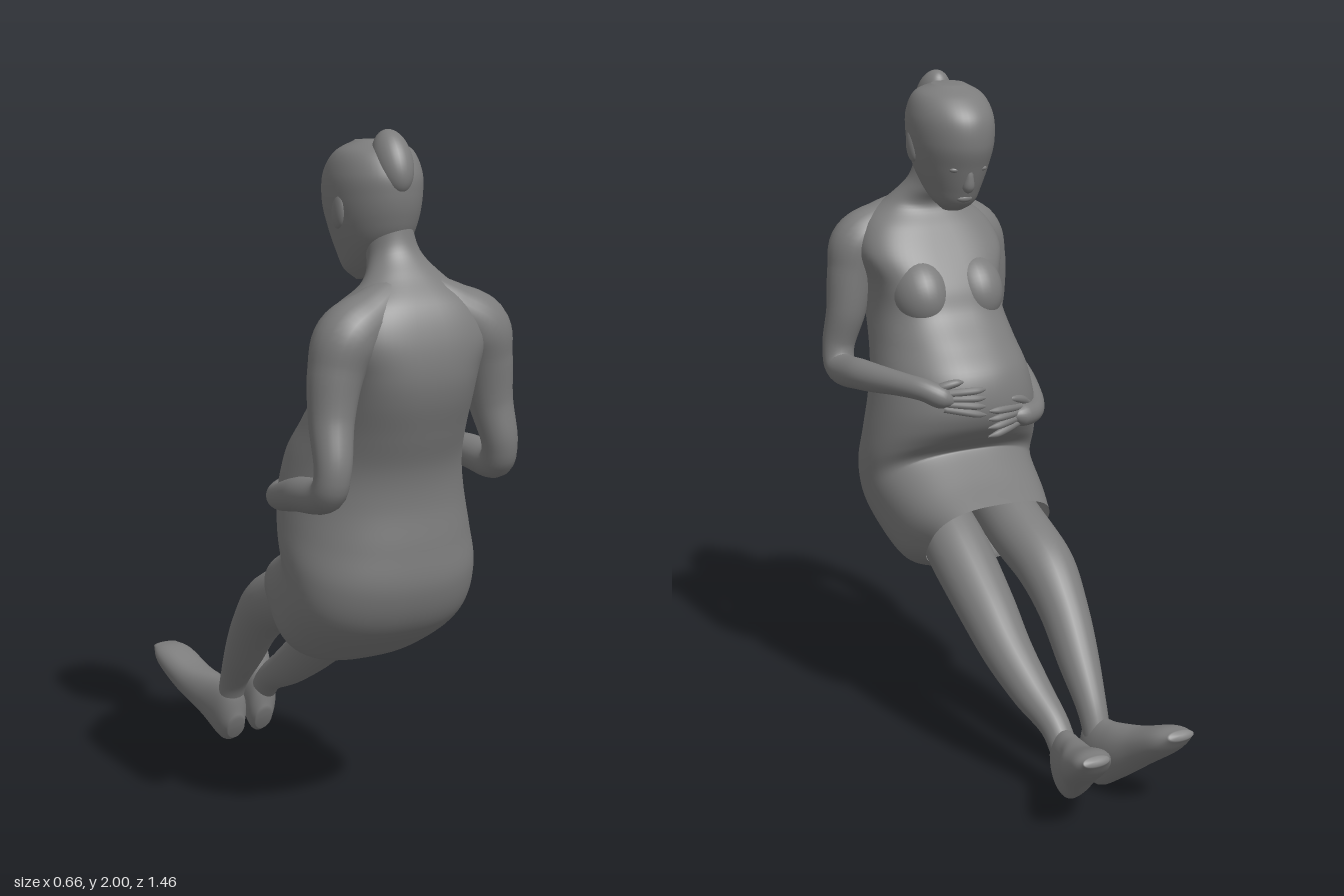
import * as THREE from 'three';
import { mergeVertices } from 'three/addons/utils/BufferGeometryUtils.js';

const skin = new THREE.MeshStandardMaterial({ color: 0x7c7c7c, side: THREE.DoubleSide });

function add(parent, name, geometry) {
  const mesh = new THREE.Mesh(geometry, skin);
  mesh.name = name;
  parent.add(mesh);
  return mesh;
}

// Evenly parameterised curve through one triple per section.
const blend = triples => new THREE.CatmullRomCurve3(
  triples.map(t => new THREE.Vector3(...t)), false, 'catmullrom', 0.5);

// Skin over oval sections: [centreX, halfWidth, z1, y1, z2, y2, squareness],
// where (z1, y1) and (z2, y2) are the two ends of the section's middle line.
function loft(sections, { capStart = true, rows = 64, cols = 48 } = {}) {
  const ends1 = blend(sections.map(s => [0, s[3], s[2]]));
  const ends2 = blend(sections.map(s => [0, s[5], s[4]]));
  const widths = blend(sections.map(s => [s[0], s[1], s[6] ?? 2]));
  const pos = [], idx = [];
  const ring = (t, k) => {
    const a = ends1.getPoint(t), b = ends2.getPoint(t), w = widths.getPoint(t);
    const oval = v => Math.sign(v) * Math.abs(v) ** (2 / w.z) * k;
    for (let j = 0; j < cols; j++) {
      const q = j / cols * Math.PI * 2, c = oval(Math.cos(q)), s = oval(Math.sin(q)) / 2;
      pos.push(w.x + c * w.y, (a.y + b.y) / 2 + s * (b.y - a.y), (a.z + b.z) / 2 + s * (b.z - a.z));
    }
  };
  if (capStart) ring(0, 0.001);
  for (let i = 0; i <= rows; i++) ring(i / rows, 1);
  ring(1, 0.001);
  for (let i = 0; i < pos.length / 3 / cols - 1; i++) {
    for (let j = 0; j < cols; j++) {
      const a = i * cols + j, b = i * cols + (j + 1) % cols;
      idx.push(a, b, b + cols, a, b + cols, a + cols);
    }
  }
  const g = new THREE.BufferGeometry();
  g.setAttribute('position', new THREE.Float32BufferAttribute(pos, 3));
  g.setIndex(idx);
  g.computeVertexNormals();
  return g;
}

// Round limb through points [x, y, z, radius].
function limb(points, rows = 48, cols = 24) {
  const curve = new THREE.CatmullRomCurve3(points.map(p => new THREE.Vector3(p[0], p[1], p[2])));
  const radii = blend(points.map(p => [p[3], 0, 0]));
  const tube = new THREE.TubeGeometry(curve, rows, 1, cols);
  const p = tube.attributes.position, v = new THREE.Vector3();
  for (let i = 0; i <= rows; i++) {
    const c = curve.getPointAt(i / rows);
    const r = Math.max(0.002, radii.getPoint(curve.getUtoTmapping(i / rows)).x);
    for (let j = 0; j <= cols; j++) {
      const n = i * (cols + 1) + j;
      v.fromBufferAttribute(p, n).sub(c).multiplyScalar(r).add(c);
      p.setXYZ(n, v.x, v.y, v.z);
    }
  }
  tube.deleteAttribute('uv');
  tube.deleteAttribute('normal');
  const g = mergeVertices(tube, 1e-5);
  g.computeVertexNormals();
  return g;
}

function ellipsoid(parent, name, [x, y, z], [rx, ry, rz], tilt = 0) {
  const mesh = add(parent, name, new THREE.SphereGeometry(1, 32, 24));
  mesh.position.set(x, y, z);
  mesh.scale.set(rx, ry, rz);
  mesh.rotation.x = tilt;
}

export function createModel() {
  const model = new THREE.Group();
  model.name = 'recliningFigure';

  // Torso, from the open hem of the shorts round the seat and up to the neck
  add(model, 'torso', loft([
    [0, 0.200, 0.24, 0.51, 0.05, 0.75, 2.7],
    [0, 0.238, 0.34, 0.49, 0.15, 0.80, 2.7],
    [0, 0.262, 0.47, 0.55, 0.24, 0.86, 2.5],
    [0, 0.272, 0.59, 0.64, 0.245, 0.88, 2.4],
    [0, 0.277, 0.645, 0.76, 0.20, 0.92, 2.3],
    [0, 0.268, 0.645, 0.88, 0.16, 0.97, 2.2],
    [0, 0.253, 0.635, 1.00, 0.145, 1.03, 2.2],
    [0, 0.235, 0.645, 1.10, 0.165, 1.12, 2.2],
    [0, 0.215, 0.68, 1.20, 0.23, 1.20, 2.3],
    [0, 0.203, 0.715, 1.30, 0.30, 1.28, 2.5],
    [0, 0.207, 0.727, 1.38, 0.335, 1.36, 2.7],
    [0, 0.232, 0.717, 1.47, 0.39, 1.45, 2.8],
    [0, 0.200, 0.685, 1.555, 0.445, 1.53, 2.6],
    [0, 0.120, 0.625, 1.625, 0.485, 1.59, 2.2],
    [-0.005, 0.076, 0.575, 1.69, 0.455, 1.64],
    [-0.018, 0.070, 0.558, 1.77, 0.42, 1.69],
  ], { capStart: false, rows: 96, cols: 64 }));
  for (const s of [-1, 1]) {
    ellipsoid(model, 'breast', [s * 0.092, 1.335, 0.415], [0.09, 0.115, 0.1], 0.6);
  }

  // Head, bowed forward
  const head = new THREE.Group();
  head.name = 'head';
  model.add(head);
  add(head, 'skull', loft([
    [-0.02, 0.036, 0.43, 1.600, 0.38, 1.588],
    [-0.02, 0.070, 0.49, 1.650, 0.335, 1.610],
    [-0.02, 0.094, 0.55, 1.715, 0.308, 1.655],
    [-0.02, 0.114, 0.575, 1.775, 0.28, 1.720],
    [-0.02, 0.125, 0.585, 1.835, 0.255, 1.790],
    [-0.02, 0.124, 0.58, 1.890, 0.26, 1.870],
    [-0.02, 0.102, 0.54, 1.945, 0.31, 1.930],
    [-0.02, 0.050, 0.47, 1.972, 0.38, 1.966],
  ]));
  ellipsoid(head, 'hairBun', [-0.02, 1.915, 0.53], [0.053, 0.092, 0.058], -0.5);
  add(head, 'nose', limb([
    [-0.02, 1.735, 0.292, 0.008], [-0.02, 1.70, 0.293, 0.013],
    [-0.02, 1.668, 0.303, 0.018], [-0.02, 1.655, 0.317, 0.004],
  ], 16, 16));
  ellipsoid(head, 'lips', [-0.02, 1.633, 0.327], [0.026, 0.012, 0.012], -0.3);
  for (const s of [-1, 1]) {
    ellipsoid(head, 'ear', [-0.02 + s * 0.115, 1.785, 0.445], [0.014, 0.048, 0.028], 0.2);
    ellipsoid(head, 'eye', [-0.02 + s * 0.043, 1.725, 0.301], [0.019, 0.009, 0.012]);
  }

  // Arms, bent so that the hands rest on the belly
  add(model, 'leftArm', limb([
    [0.03, 1.595, 0.58, 0.045], [0.12, 1.53, 0.605, 0.072], [0.20, 1.472, 0.610, 0.088],
    [0.228, 1.39, 0.607, 0.076], [0.250, 1.27, 0.605, 0.062], [0.273, 1.15, 0.62, 0.050],
    [0.278, 1.095, 0.595, 0.049], [0.270, 1.095, 0.45, 0.047], [0.215, 1.095, 0.28, 0.036],
    [0.175, 1.087, 0.215, 0.034], [0.130, 1.065, 0.182, 0.034], [0.100, 1.053, 0.17, 0.012],
  ], 80));
  add(model, 'rightArm', limb([
    [-0.03, 1.595, 0.58, 0.045], [-0.12, 1.53, 0.605, 0.072], [-0.20, 1.472, 0.615, 0.088],
    [-0.234, 1.39, 0.62, 0.076], [-0.255, 1.27, 0.635, 0.062], [-0.272, 1.14, 0.675, 0.050],
    [-0.278, 1.08, 0.660, 0.049], [-0.282, 1.04, 0.50, 0.047], [-0.240, 0.985, 0.30, 0.037],
    [-0.190, 0.975, 0.215, 0.034], [-0.130, 0.98, 0.178, 0.034], [-0.100, 0.983, 0.168, 0.012],
  ], 80));

  // Fingers and thumbs curving round the belly
  for (const [s, y, z] of [[1, 1.055, 0.168], [-1, 0.985, 0.168]]) {
    const side = s > 0 ? 'left' : 'right';
    for (let i = 0; i < 4; i++) {
      const d = (i - 1.5) * 0.019;
      add(model, side + 'Finger', limb([
        [s * 0.13, y + d * 0.8, z + 0.01, 0.012], [s * 0.07, y + d * 1.1 - 0.004, z - 0.014, 0.012],
        [s * 0.03, y + d * 1.3 - 0.008, z - 0.022, 0.010], [s * 0.005, y + d * 1.4 - 0.01, z - 0.02, 0.003],
      ], 16, 10));
    }
    add(model, side + 'Thumb', limb([
      [s * 0.175, y + 0.02, z + 0.045, 0.012], [s * 0.13, y + 0.045, z + 0.012, 0.014],
      [s * 0.09, y + 0.055, z, 0.011], [s * 0.07, y + 0.055, z, 0.003],
    ], 16, 10));
  }

  // Legs, stretched forward
  add(model, 'leftLeg', limb([
    [0.095, 0.66, 0.27, 0.09], [0.095, 0.58, 0.15, 0.095], [0.092, 0.455, -0.02, 0.086],
    [0.088, 0.36, -0.14, 0.074], [0.072, 0.27, -0.26, 0.060], [0.056, 0.20, -0.365, 0.044],
    [0.053, 0.13, -0.425, 0.040],
  ]));
  add(model, 'rightLeg', limb([
    [-0.095, 0.70, 0.27, 0.09], [-0.093, 0.635, 0.12, 0.094], [-0.098, 0.56, -0.04, 0.088],
    [-0.095, 0.465, -0.15, 0.074], [-0.085, 0.345, -0.255, 0.062], [-0.077, 0.22, -0.352, 0.044],
    [-0.077, 0.13, -0.39, 0.040],
  ]));

  // Feet, toes turned outward and up
  const foot = [
    [0.134, 0.040, -0.735, 0.240, -0.72, 0.262, 2.2],
    [0.122, 0.062, -0.69, 0.185, -0.665, 0.260, 2.2],
    [0.098, 0.064, -0.605, 0.120, -0.565, 0.225, 2.2],
    [0.066, 0.056, -0.525, 0.055, -0.475, 0.210],
    [0.048, 0.049, -0.445, 0.005, -0.380, 0.195],
    [0.042, 0.028, -0.400, 0.020, -0.365, 0.095],
  ];
  add(model, 'leftFoot', loft(foot, { rows: 40, cols: 32 }));
  add(model, 'rightFoot', loft(foot.map(([x, w, z1, y1, z2, y2, q]) =>
    [-x - 0.03, w, z1 + 0.035, y1, z2 + 0.035, y2, q]), { rows: 40, cols: 32 }));

  return model;
}
